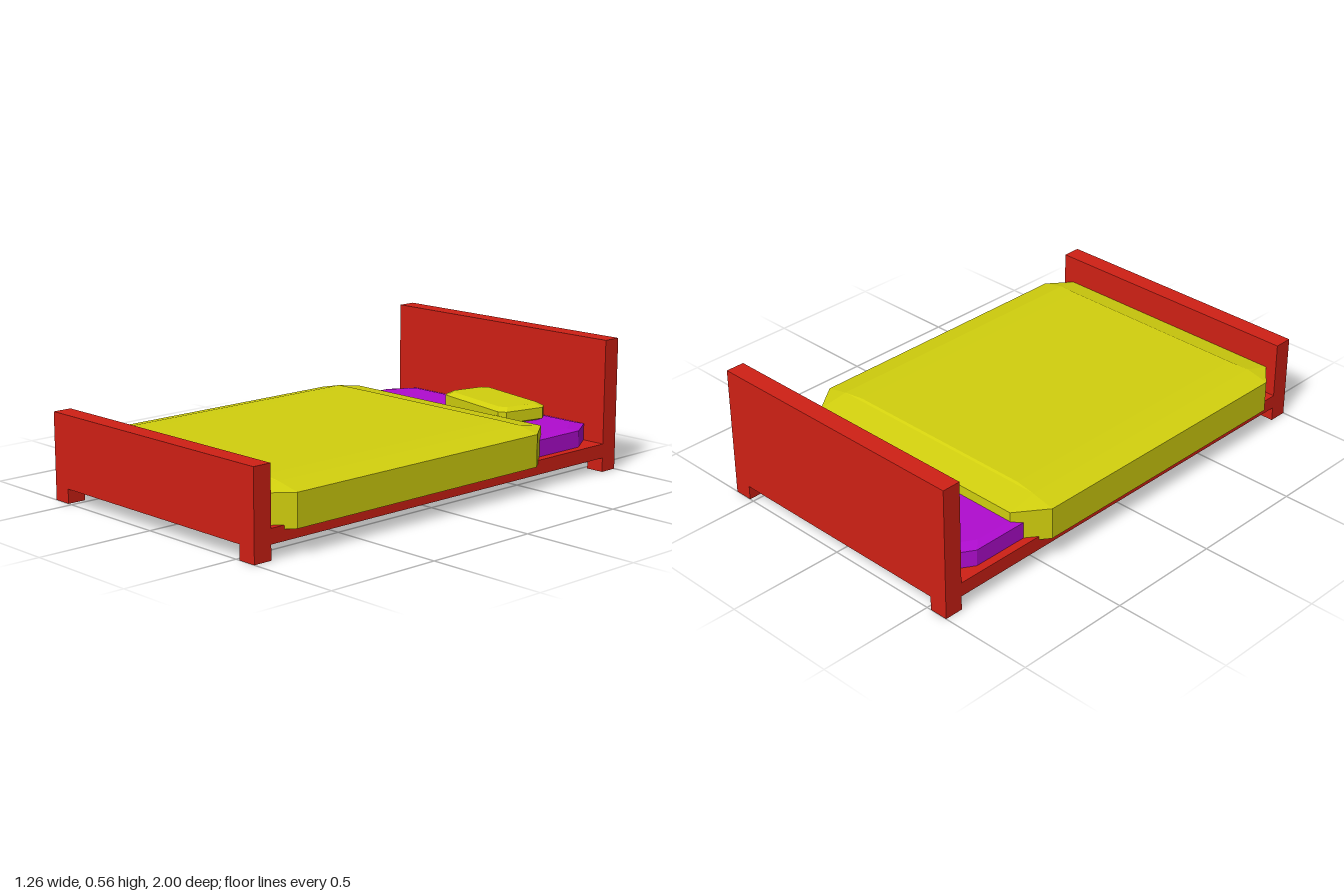
import * as THREE from 'three';

const material = (color) => new THREE.MeshStandardMaterial({ color, flatShading: true, side: THREE.DoubleSide });

// Eight-sided outline at height y; each end has its own corner cut [dx, dz]
function ring(y, hx, zBack, zFront, cutBack, cutFront = cutBack) {
  const [bx, bz] = cutBack, [fx, fz] = cutFront;
  return [
    [hx, zBack + bz], [hx, zFront - fz], [hx - fx, zFront], [fx - hx, zFront],
    [-hx, zFront - fz], [-hx, zBack + bz], [bx - hx, zBack], [hx - bx, zBack],
  ].map(([x, z]) => new THREE.Vector3(x, y, z));
}

// Skins stacked rings from bottom to top and caps the top (optionally the bottom)
function loft(rings, closeBottom) {
  const pos = [];
  const tri = (a, b, c) => {
    if (new THREE.Triangle(a, b, c).getArea() > 1e-7) for (const p of [a, b, c]) pos.push(p.x, p.y, p.z);
  };
  for (let r = 0; r < rings.length - 1; r++) {
    const lo = rings[r], hi = rings[r + 1];
    for (let i = 0; i < 8; i++) {
      const j = (i + 1) % 8;
      tri(lo[i], hi[i], lo[j]);
      tri(lo[j], hi[i], hi[j]);
    }
  }
  const top = rings[rings.length - 1], bottom = rings[0];
  for (let i = 1; i < 7; i++) {
    tri(top[0], top[i + 1], top[i]);
    if (closeBottom) tri(bottom[0], bottom[i], bottom[i + 1]);
  }
  const geometry = new THREE.BufferGeometry();
  geometry.setAttribute('position', new THREE.Float32BufferAttribute(pos, 3));
  geometry.computeVertexNormals();
  return geometry;
}

export function createModel() {
  const bed = new THREE.Group();
  bed.name = 'bed';
  const red = material(0xd02015), yellow = material(0xd2d00e), purple = material(0xb00cd0);

  const add = (name, geometry, mat) => {
    const mesh = new THREE.Mesh(geometry, mat);
    mesh.name = name;
    bed.add(mesh);
    return mesh;
  };

  // Slatless base between the two end boards
  add('base', new THREE.BoxGeometry(1.2, 0.06, 1.84), red).position.y = 0.09;

  // End boards: a panel with two short feet cut from one outline
  const endBoard = (name, height, z) => {
    const outline = [[-0.6, 0], [-0.52, 0], [-0.52, 0.06], [0.52, 0.06], [0.52, 0], [0.6, 0], [0.6, height], [-0.6, height]];
    const shape = new THREE.Shape(outline.map(([x, y]) => new THREE.Vector2(x, y)));
    const geometry = new THREE.ExtrudeGeometry(shape, { depth: 0.08, bevelEnabled: false });
    add(name, geometry, red).position.z = z;
  };
  endBoard('headboard', 0.56, -1);
  endBoard('footboard', 0.36, 0.92);

  // Mattress with cut corners and a softened top edge
  const cut = [0.07, 0.115];
  add('mattress', loft([
    ring(0.12, 0.565, -0.92, 0.9, cut),
    ring(0.19, 0.565, -0.92, 0.9, cut),
    ring(0.2, 0.53, -0.88, 0.86, cut),
  ], true), purple);

  // Blanket: open underneath, hanging over the sides of the base
  add('blanket', loft([
    ring(0.105, 0.63, -0.6, 0.92, [0.095, 0.13], [0.08, 0.1]),
    ring(0.24, 0.63, -0.6, 0.92, [0.095, 0.13], [0.08, 0.1]),
    ring(0.262, 0.53, -0.47, 0.82, [0, 0]),
    ring(0.267, 0.44, -0.46, 0.81, [0, 0]),
  ], false), yellow);

  // Pillow lying at an angle on the mattress
  const soft = [0.025, 0.025];
  const pillow = add('pillow', loft([
    ring(0.198, 0.2, -0.1, 0.1, soft),
    ring(0.208, 0.22, -0.118, 0.118, soft),
    ring(0.255, 0.22, -0.118, 0.118, soft),
    ring(0.27, 0.195, -0.095, 0.095, soft),
  ], true), yellow);
  pillow.position.set(0.125, 0, -0.765);
  pillow.rotation.y = -0.21;

  return bed;
}
